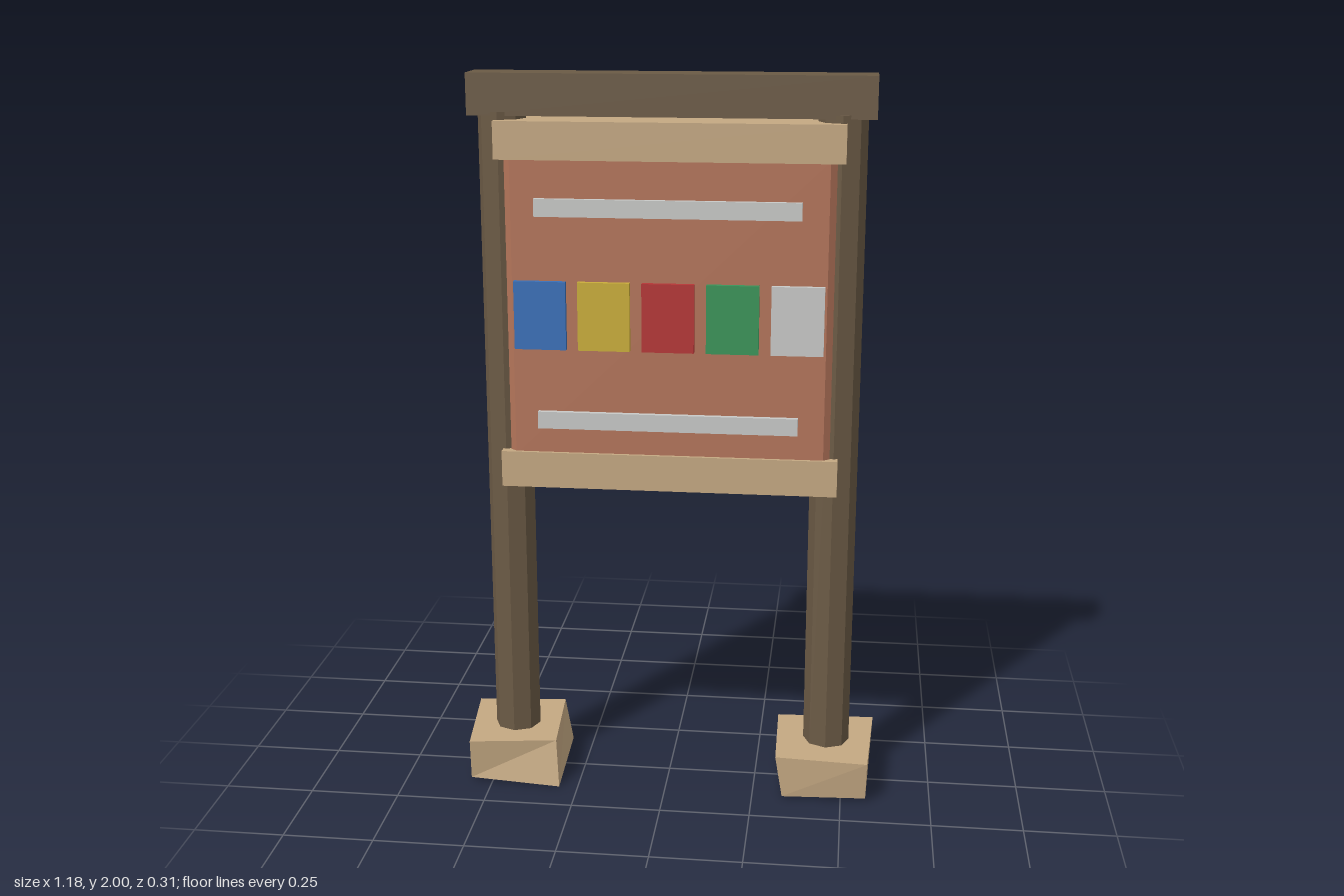
import * as THREE from 'three';

const mat = (name, color) => {
  const m = new THREE.MeshStandardMaterial({ color });
  m.name = name;
  return m;
};

export function createModel() {
  const darkWood = mat('dark wood', 0x6b5a45);
  const paleWood = mat('pale wood', 0xc4a882);
  const clay = mat('terracotta board', 0xb3745a);
  const white = mat('off white', 0xc8c9c7);
  const noticeColours = [
    mat('blue', 0x3a70b8), mat('yellow', 0xcaad3a), mat('red', 0xb53636),
    mat('green', 0x3a9459), white,
  ];

  const model = new THREE.Group();
  model.name = 'noticeBoard';
  const add = (name, geometry, material, x = 0, y = 0, z = 0) => {
    const mesh = new THREE.Mesh(geometry, material);
    mesh.name = name;
    mesh.position.set(x, y, z);
    model.add(mesh);
  };
  // Box given by its limits on each axis
  const box = (name, material, x0, x1, y0, y1, z0, z1) =>
    add(name, new THREE.BoxGeometry(x1 - x0, y1 - y0, z1 - z0), material,
      (x0 + x1) / 2, (y0 + y1) / 2, (z0 + z1) / 2);
  const faceted = (geometry) => {
    const flat = geometry.toNonIndexed();
    flat.computeVertexNormals();
    return flat;
  };

  // Rough-hewn block: corners [x, y, z] in order back left, back right, front right, front left
  const block = (name, top, bottom) => {
    const g = new THREE.BoxGeometry(1, 1, 1);
    const p = g.attributes.position;
    for (let i = 0; i < p.count; i++) {
      const right = p.getX(i) > 0;
      const corner = p.getZ(i) < 0 ? (right ? 1 : 0) : (right ? 2 : 3);
      p.setXYZ(i, ...(p.getY(i) > 0 ? top : bottom)[corner]);
    }
    add(name, faceted(g), paleWood);
  };
  block('rightFoot',
    [[-0.59, 0.13, -0.135], [-0.335, 0.13, -0.157], [-0.315, 0.13, 0.115], [-0.56, 0.13, 0.15]],
    [[-0.585, 0.018, -0.13], [-0.312, 0.005, -0.155], [-0.303, 0, 0.146], [-0.56, 0.012, 0.14]]);
  block('leftFoot',
    [[0.31, 0.13, -0.127], [0.588, 0.127, -0.145], [0.572, 0.123, 0.152], [0.315, 0.127, 0.143]],
    [[0.31, 0.015, -0.125], [0.578, 0.012, -0.12], [0.57, 0.012, 0.14], [0.335, 0.005, 0.14]]);

  // Eight-sided posts
  for (const [name, x] of [['rightPost', -0.447], ['leftPost', 0.453]]) {
    add(name, faceted(new THREE.CylinderGeometry(0.065, 0.065, 1.8, 8)), darkWood, x, 1.0, 0);
  }

  // Top beam and the two rails
  box('topBeam', darkWood, -0.53, 0.54, 1.89, 2, -0.057, 0.057);
  box('upperRail', paleWood, -0.455, 0.464, 1.78, 1.88, -0.09, 0.09);
  box('lowerRail', paleWood, -0.455, 0.464, 0.885, 0.985, -0.09, 0.09);

  // Board with bevelled edges
  const outline = new THREE.Shape([
    new THREE.Vector2(-0.415, 0.975), new THREE.Vector2(0.425, 0.975),
    new THREE.Vector2(0.425, 1.785), new THREE.Vector2(-0.415, 1.785),
  ]);
  add('board', new THREE.ExtrudeGeometry(outline, {
    depth: 0.124, bevelEnabled: true, bevelSegments: 1, bevelSize: 0.017, bevelThickness: 0.015,
  }), clay, 0, 0, -0.059);

  // Strips and coloured notices on the front
  box('upperStrip', white, -0.35, 0.355, 1.633, 1.68, 0.075, 0.095);
  box('lowerStrip', white, -0.35, 0.355, 1.055, 1.102, 0.075, 0.095);
  noticeColours.forEach((material, i) => {
    const x = -0.339 + i * 0.172;
    box(`notice${i + 1}`, material, x - 0.07, x + 0.07, 1.275, 1.46, 0.075, 0.095);
  });

  return model;
}
